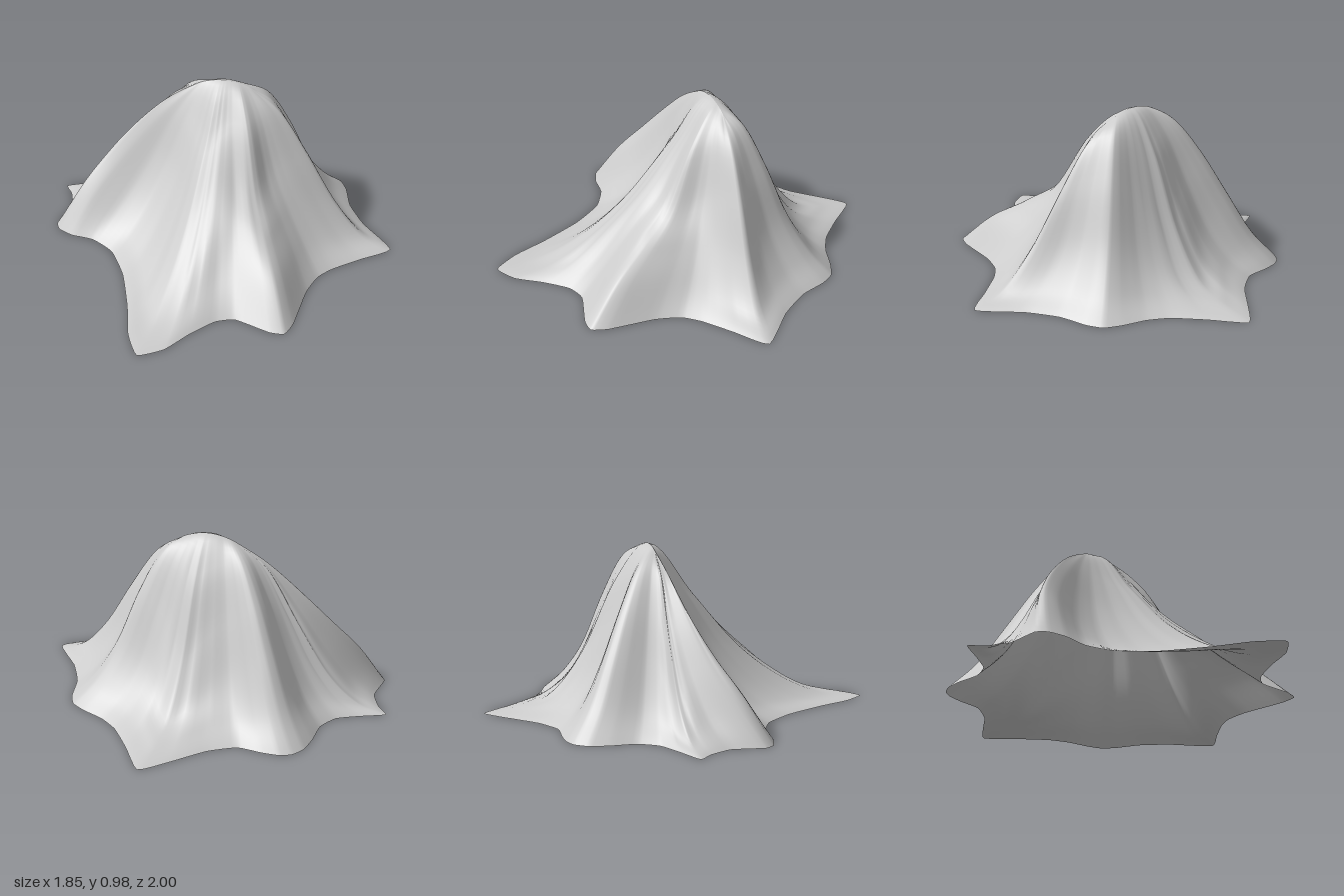
import * as THREE from 'three';

// Summit crest: a short arched line, middle point and half length
const MIDDLE = new THREE.Vector3(0.08, 0.98, -0.12);
const HALF = new THREE.Vector3(0.12, 0, 0.1);

// Foot outline (x, z), counter-clockwise seen from above, starting at the +x spur
const OUTLINE = [
  0.92, -0.05, 0.88, -0.15, 0.81, -0.27, 0.77, -0.4, 0.765, -0.6, 0.77, -0.82,
  0.6, -0.82, 0.37, -0.8, 0.2, -0.83, 0.1, -0.92, 0.02, -0.98, -0.05, -1,
  -0.13, -0.98, -0.22, -0.91, -0.32, -0.81, -0.44, -0.77, -0.58, -0.8, -0.73, -0.84,
  -0.735, -0.75, -0.78, -0.62, -0.92, -0.5, -0.93, -0.43, -0.88, -0.34, -0.78, -0.24,
  -0.72, -0.08, -0.74, 0.14, -0.82, 0.4, -0.9, 0.6, -0.92, 0.77, -0.77, 0.8,
  -0.6, 0.76, -0.43, 0.74, -0.32, 0.78, -0.2, 0.95, -0.13, 1, -0.04, 0.95,
  0.15, 0.77, 0.28, 0.69, 0.4, 0.67, 0.6, 0.675, 0.81, 0.68, 0.8, 0.4,
  0.83, 0.2, 0.9, 0.05,
];
const COUNT = OUTLINE.length / 2;

// Slope profiles: outline index, heights at 20/40/60/80 % of the way down, sideways bend in z
const SLOPES = [
  [0, 0.88, 0.64, 0.33, 0.13, 0],       // right spur
  [3, 0.85, 0.54, 0.24, 0.08, 0],       // gully
  [5, 0.76, 0.35, 0.1, 0.03, 0],        // back right corner
  [7, 0.82, 0.51, 0.23, 0.08, 0],       // gully
  [11, 0.87, 0.67, 0.42, 0.17, 0],      // back spur
  [15, 0.86, 0.64, 0.36, 0.13, 0],      // gully
  [17, 0.81, 0.5, 0.21, 0.05, -0.03],   // back left corner
  [19, 0.82, 0.59, 0.34, 0.13, -0.07],  // gully
  [21, 0.81, 0.63, 0.44, 0.25, -0.11],  // left spur
  [24, 0.75, 0.46, 0.24, 0.09, -0.03],  // gully
  [28, 0.67, 0.36, 0.15, 0.03, 0],      // front left corner
  [31, 0.77, 0.52, 0.33, 0.14, 0],      // gully
  [34, 0.79, 0.45, 0.31, 0.19, 0],      // front spur
  [38, 0.83, 0.54, 0.3, 0.12, 0],       // gully
  [40, 0.82, 0.56, 0.27, 0.07, 0],      // front right corner
  [41, 0.85, 0.6, 0.29, 0.1, 0],        // gully
];

// Catmull-Rom value between b and c
function spline(a, b, c, d, f) {
  return b + 0.5 * f * (c - a + f * (2 * a - 5 * b + 4 * c - d + f * (3 * (b - c) + d - a)));
}

// Blend the neighbouring profiles at outline position s
function slopeAt(s) {
  const n = SLOPES.length;
  let k = n - 1;
  while (SLOPES[k][0] > s) k--;
  const [a, b, c, d] = [k + n - 1, k, k + 1, k + 2].map((i) => SLOPES[i % n]);
  const end = k + 1 < n ? c[0] : COUNT;
  const f = (s - b[0]) / (end - b[0]);
  return [1, 2, 3, 4, 5].map((i) => spline(a[i], b[i], c[i], d[i], f));
}

// Height a share t down a spoke; level at the crest's sides, sloping on at its ends
function heightAt(h, start, along, t) {
  const before = THREE.MathUtils.lerp(h[0], 2 * start - h[0], along * along);
  const p = [before, start, h[0], h[1], h[2], h[3], 0, -h[3]];
  const i = Math.min(4, Math.floor(t * 5));
  return spline(p[i], p[i + 1], p[i + 2], p[i + 3], t * 5 - i);
}

export function createModel() {
  const points = [];
  for (let i = 0; i < COUNT; i++) points.push(new THREE.Vector3(OUTLINE[2 * i], 0, OUTLINE[2 * i + 1]));
  const outline = new THREE.CatmullRomCurve3(points, true, 'catmullrom', 0.25);
  const axis = HALF.clone().normalize();

  // Spokes run from the crest down to the outline
  const spokes = COUNT * 4, rings = 32;
  const positions = [], indices = [];
  for (let s = 0; s < spokes; s++) {
    const foot = outline.getPoint(s / spokes);
    const slope = slopeAt(s / 4);
    const along = foot.clone().sub(MIDDLE).setY(0).normalize().dot(axis);
    const start = MIDDLE.clone().addScaledVector(HALF, along);
    start.y -= 0.035 * along * along;
    for (let r = 0; r <= rings; r++) {
      const t = r / rings;
      positions.push(
        THREE.MathUtils.lerp(start.x, foot.x, t),
        Math.max(0, heightAt(slope, start.y, along, t)),
        THREE.MathUtils.lerp(start.z, foot.z, t) + slope[4] * Math.sin(Math.PI * t),
      );
    }
    const a = s * (rings + 1), b = ((s + 1) % spokes) * (rings + 1);
    for (let r = 0; r < rings; r++) {
      indices.push(a + r, a + r + 1, b + r + 1, a + r, b + r + 1, b + r);
    }
  }

  const geometry = new THREE.BufferGeometry();
  geometry.setAttribute('position', new THREE.Float32BufferAttribute(positions, 3));
  geometry.setIndex(indices);
  geometry.computeVertexNormals();

  const mountain = new THREE.Mesh(
    geometry,
    new THREE.MeshStandardMaterial({ color: 0xcccccc, side: THREE.DoubleSide }),
  );
  mountain.name = 'mountain';
  const group = new THREE.Group();
  group.name = 'mountainTerrain';
  group.add(mountain);
  return group;
}
